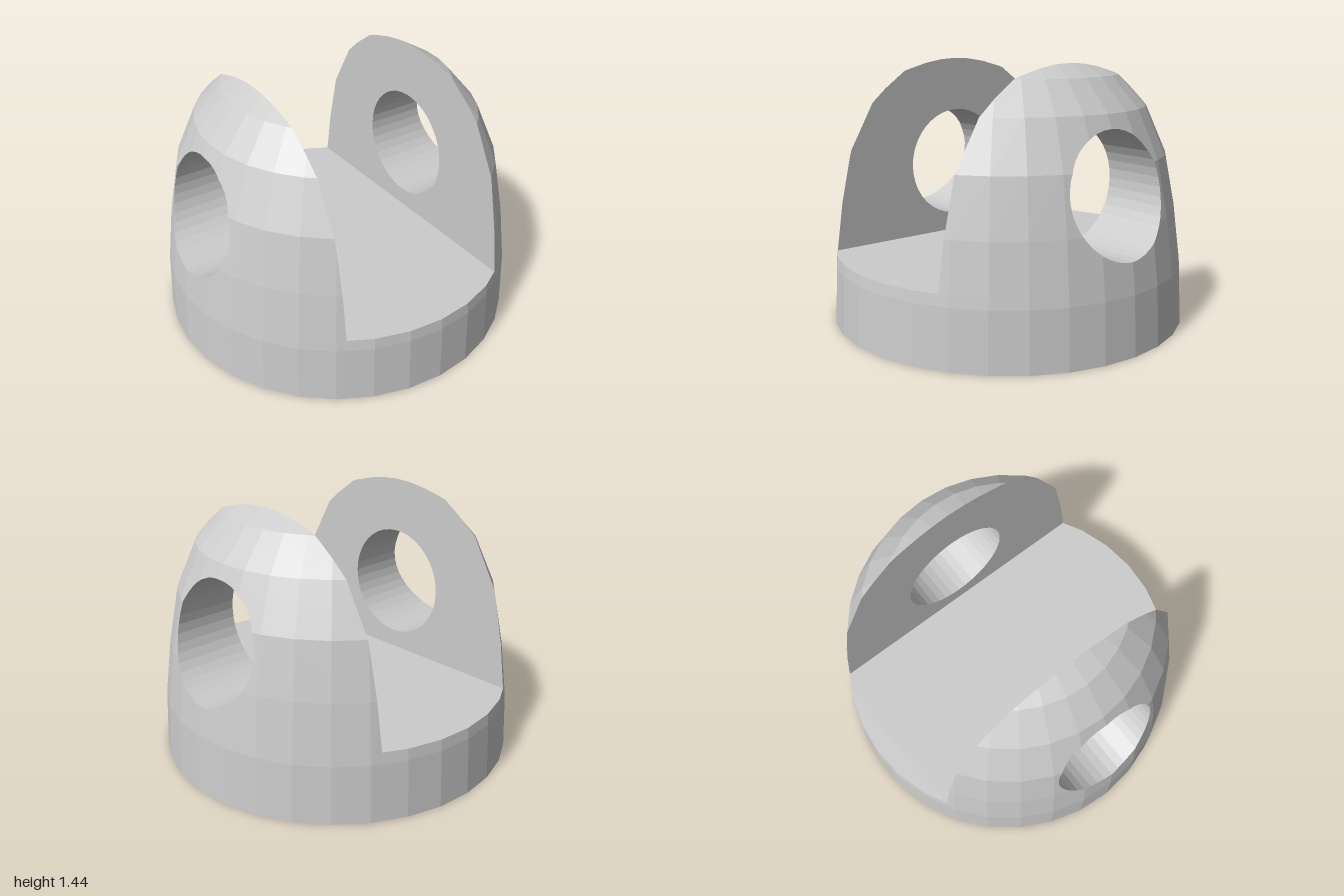
import * as THREE from 'three';

const V = (x, y, z) => new THREE.Vector3(x, y, z);
const SIDES = 32, HOLE_SIDES = 40;
const FLOOR = 0.38, SLOT_LEFT = 0.493, SLOT_RIGHT = -0.498;
const HOLE = { y: 0.806, r: 0.322 };
// Dome profile: [radius, height]
const PROFILE = [[1, 0], [0.985, 0.32], [0.943, 0.64], [0.884, 0.94], [0.77, 1.2], [0.62, 1.37], [0.385, 1.5]];

// Keep the part of a convex polygon where n.p >= d
function clip(poly, n, d) {
  const out = [];
  poly.forEach((a, i) => {
    const b = poly[(i + 1) % poly.length];
    const da = n.dot(a) - d, db = n.dot(b) - d;
    if (da >= 0) out.push(a);
    if ((da > 0 && db < 0) || (da < 0 && db > 0)) out.push(a.clone().lerp(b, da / (da - db)));
  });
  return out;
}

function polyNormal(poly) {
  const n = V(0, 0, 0);
  for (let i = 1; i < poly.length - 1; i++) {
    n.add(poly[i].clone().sub(poly[0]).cross(poly[i + 1].clone().sub(poly[0])));
  }
  return n;
}

// Flat facets of the dome, wound outwards
function domeFacets() {
  const at = ([r, y], i) => {
    const a = (i / SIDES) * Math.PI * 2;
    return V(r * Math.sin(a), y, r * Math.cos(a));
  };
  const facets = [];
  for (let j = 0; j < PROFILE.length - 1; j++) {
    for (let i = 0; i < SIDES; i++) {
      const poly = [at(PROFILE[j], i), at(PROFILE[j], i + 1), at(PROFILE[j + 1], i + 1), at(PROFILE[j + 1], i)];
      const normal = polyNormal(poly).normalize();
      facets.push({ poly, normal, d: normal.dot(poly[0]) });
    }
  }
  return facets;
}

// Trim a flat polygon to the inside of the convex dome
const trimToDome = (poly, facets) =>
  facets.reduce((p, f) => clip(p, f.normal.clone().negate(), -f.d), poly);

// Side planes of the cross hole, normals pointing away from its axis
const holePlanes = Array.from({ length: HOLE_SIDES }, (_, i) => {
  const a = ((i + 0.5) / HOLE_SIDES) * Math.PI * 2;
  const n = V(0, Math.sin(a), Math.cos(a));
  return { n, d: n.y * HOLE.y + HOLE.r * Math.cos(Math.PI / HOLE_SIDES) };
});

// Split a polygon into convex pieces lying outside the hole
function cutHole(poly) {
  const pieces = [];
  let rest = poly;
  for (const { n, d } of holePlanes) {
    if (rest.length < 3) break;
    pieces.push(clip(rest, n, d));
    rest = clip(rest, n.clone().negate(), -d);
  }
  return pieces;
}

// Collects polygons facing a given direction into one mesh
class Surface {
  constructor() { this.points = []; }
  add(poly, facing) {
    if (poly.length < 3) return;
    const n = polyNormal(poly);
    if (n.length() < 1e-9) return;
    const p = n.dot(facing) < 0 ? [...poly].reverse() : poly;
    for (let i = 1; i < p.length - 1; i++) this.points.push(p[0], p[i], p[i + 1]);
  }
  mesh(name, material) {
    const geometry = new THREE.BufferGeometry().setFromPoints(this.points);
    geometry.computeVertexNormals();
    const mesh = new THREE.Mesh(geometry, material);
    mesh.name = name;
    return mesh;
  }
}

export function createModel() {
  const group = new THREE.Group();
  group.name = 'clevisMount';
  const material = new THREE.MeshStandardMaterial({ color: 0xcccccc, flatShading: true });
  const facets = domeFacets();
  const up = V(0, 1, 0), down = V(0, -1, 0);

  // Base: skirt below the slot, underside and slot floor
  const base = new Surface();
  for (const f of facets) base.add(clip(f.poly, down, -FLOOR), f.normal);
  base.add(facets.slice(0, SIDES).map((f) => f.poly[0]), down);
  const floor = [V(SLOT_RIGHT, FLOOR, -2), V(SLOT_LEFT, FLOOR, -2), V(SLOT_LEFT, FLOOR, 2), V(SLOT_RIGHT, FLOOR, 2)];
  base.add(trimToDome(floor, facets), up);
  group.add(base.mesh('base', material));

  // Two upright cheeks, each pierced by the cross hole
  for (const [name, side, x] of [['leftCheek', 1, SLOT_LEFT], ['rightCheek', -1, SLOT_RIGHT]]) {
    const outward = V(side, 0, 0);
    const cheek = new Surface();

    // Rounded outer face
    for (const f of facets) {
      const part = clip(clip(f.poly, up, FLOOR), outward, side * x);
      cutHole(part).forEach((p) => cheek.add(p, f.normal));
    }

    // Flat wall along the slot
    const wall = trimToDome([V(x, FLOOR, -2), V(x, FLOOR, 2), V(x, 2, 2), V(x, 2, -2)], facets);
    cutHole(wall).forEach((p) => cheek.add(p, outward.clone().negate()));

    // Bore of the hole, from the wall out to the dome
    holePlanes.forEach(({ n }, i) => {
      const [a, b] = [i, i + 1].map((k) => (k / HOLE_SIDES) * Math.PI * 2);
      const at = (px, t) => V(px, HOLE.y + HOLE.r * Math.sin(t), HOLE.r * Math.cos(t));
      const strip = [at(x, a), at(x, b), at(side * 2, b), at(side * 2, a)];
      cheek.add(trimToDome(strip, facets), n.clone().negate());
    });
    group.add(cheek.mesh(name, material));
  }
  return group;
}
